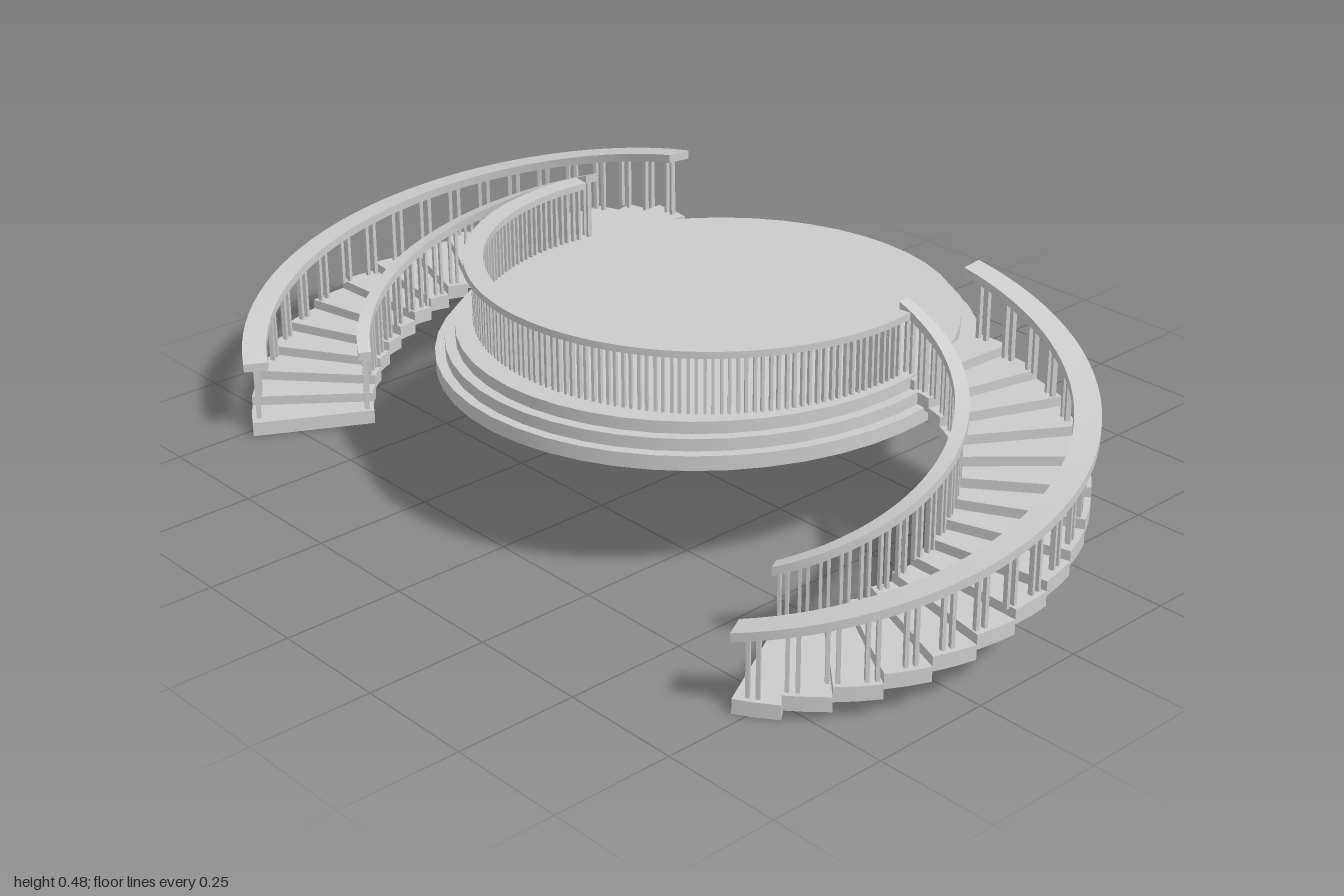
import * as THREE from 'three';
import { mergeGeometries, toCreasedNormals } from 'three/addons/utils/BufferGeometryUtils.js';

const material = new THREE.MeshStandardMaterial({ color: 0xcccccc });
const rad = THREE.MathUtils.degToRad;

function addMesh(parent, name, geometry) {
  const mesh = new THREE.Mesh(geometry, material);
  mesh.name = name;
  parent.add(mesh);
  return mesh;
}

// Curved bar of rectangular section about (cx, cz); its top runs from y0 to y1
function curvedBar({ cx, cz, r0, r1, a0, a1, y0, y1, thick, segs }) {
  if (a1 < a0) [a0, a1, y0, y1] = [a1, a0, y1, y0];
  const rings = [];
  for (let i = 0; i <= segs; i++) {
    const t = i / segs, a = a0 + (a1 - a0) * t, y = y0 + (y1 - y0) * t;
    rings.push([[r0, y - thick], [r1, y - thick], [r1, y], [r0, y]].map(
      ([r, h]) => [cx + r * Math.cos(a), h, cz + r * Math.sin(a)]));
  }
  const pos = [];
  const quad = (a, b, c, d) => pos.push(...a, ...b, ...c, ...a, ...c, ...d);
  for (let i = 0; i < segs; i++) {
    const p = rings[i], q = rings[i + 1];
    for (let k = 0; k < 4; k++) {
      const n = (k + 1) % 4;
      quad(p[k], p[n], q[n], q[k]);
    }
  }
  const s = rings[0], e = rings[segs];
  quad(s[3], s[2], s[1], s[0]);
  quad(e[0], e[1], e[2], e[3]);
  const g = new THREE.BufferGeometry();
  g.setAttribute('position', new THREE.Float32BufferAttribute(pos, 3));
  return toCreasedNormals(g, 0.5);
}

// Slim arched baluster: two posts joined by a round top
function baluster(width, height) {
  const post = width * 0.29, depth = 0.01, r = width / 2, ri = r - post;
  const s = new THREE.Shape();
  s.moveTo(-r, 0);
  s.lineTo(-ri, 0);
  s.lineTo(-ri, height - r);
  s.absarc(0, height - r, ri, Math.PI, 0, true);
  s.lineTo(ri, 0);
  s.lineTo(r, 0);
  s.lineTo(r, height);
  s.lineTo(-r, height);
  const g = new THREE.ExtrudeGeometry(s, { depth, bevelEnabled: false, curveSegments: 6 });
  return g.translate(0, 0, -depth / 2);
}

// Baluster standing at an angle on a circle, facing outward
function placedBaluster(cx, cz, r, a, y, height, width) {
  return baluster(width, height)
    .rotateY(Math.PI / 2 - a)
    .translate(cx + r * Math.cos(a), y, cz + r * Math.sin(a));
}

// Curved flight; side is +1 for the left, -1 for the right
function createStair(side) {
  const stair = new THREE.Group();
  stair.name = side > 0 ? 'leftStair' : 'rightStair';
  const cx = 0.485 * side, cz = 0.14, steps = 16, posts = 20;
  const angle = f => {
    const a = rad(61.5 - 159 * f);
    return side > 0 ? a : Math.PI - a;
  };
  const stepTop = i => 0.03 + 0.02 * i;

  for (let i = 0; i < steps; i++) {
    addMesh(stair, 'step', curvedBar({
      cx, cz, r0: 0.25, r1: 0.505, a0: angle(i / steps), a1: angle((i + 1) / steps),
      y0: stepTop(i), y1: stepTop(i), thick: 0.03, segs: 2,
    }));
  }

  const rails = [['inner', 0.25, 0.277, 0.02], ['outer', 0.465, 0.515, 0.026]];
  for (const [name, r0, r1, width] of rails) {
    addMesh(stair, name + 'Handrail', curvedBar({
      cx, cz, r0, r1, a0: angle(0), a1: angle(1), y0: 0.166, y1: 0.48, thick: 0.018, segs: 40,
    }));
    const list = [];
    for (let j = 0; j < posts; j++) {
      const f = (j + 0.5) / posts, y = stepTop(Math.floor(f * steps));
      list.push(placedBaluster(cx, cz, (r0 + r1) / 2, angle(f), y, 0.153 + 0.314 * f - y, width));
    }
    addMesh(stair, name + 'Balusters', mergeGeometries(list));
  }
  return stair;
}

// Three-tier landing with a balustrade round its front
function createPlatform() {
  const platform = new THREE.Group();
  platform.name = 'platform';
  const cz = -0.042;
  const tiers = [[0.53, 0.56, 0.255, 0.285], [0.51, 0.54, 0.285, 0.31], [0.49, 0.518, 0.31, 0.335]];
  for (const [rx, rz, y0, y1] of tiers) {
    const g = new THREE.CylinderGeometry(1, 1, y1 - y0, 48);
    g.scale(rx, 1, rz).translate(0, (y0 + y1) / 2, cz);
    addMesh(platform, 'tier', g);
  }
  const a0 = rad(-7.5), a1 = rad(187.5), count = 52;
  addMesh(platform, 'balconyHandrail', curvedBar({
    cx: 0, cz, r0: 0.447, r1: 0.487, a0, a1, y0: 0.468, y1: 0.468, thick: 0.014, segs: 48,
  }));
  const list = [];
  for (let i = 0; i < count; i++) {
    const a = a0 + (a1 - a0) * (i + 0.5) / count;
    list.push(placedBaluster(0, cz, 0.467, a, 0.335, 0.122, 0.02));
  }
  addMesh(platform, 'balconyBalusters', mergeGeometries(list));
  return platform;
}

export function createModel() {
  const model = new THREE.Group();
  model.name = 'doubleStaircase';
  model.add(createPlatform(), createStair(1), createStair(-1));
  return model;
}
